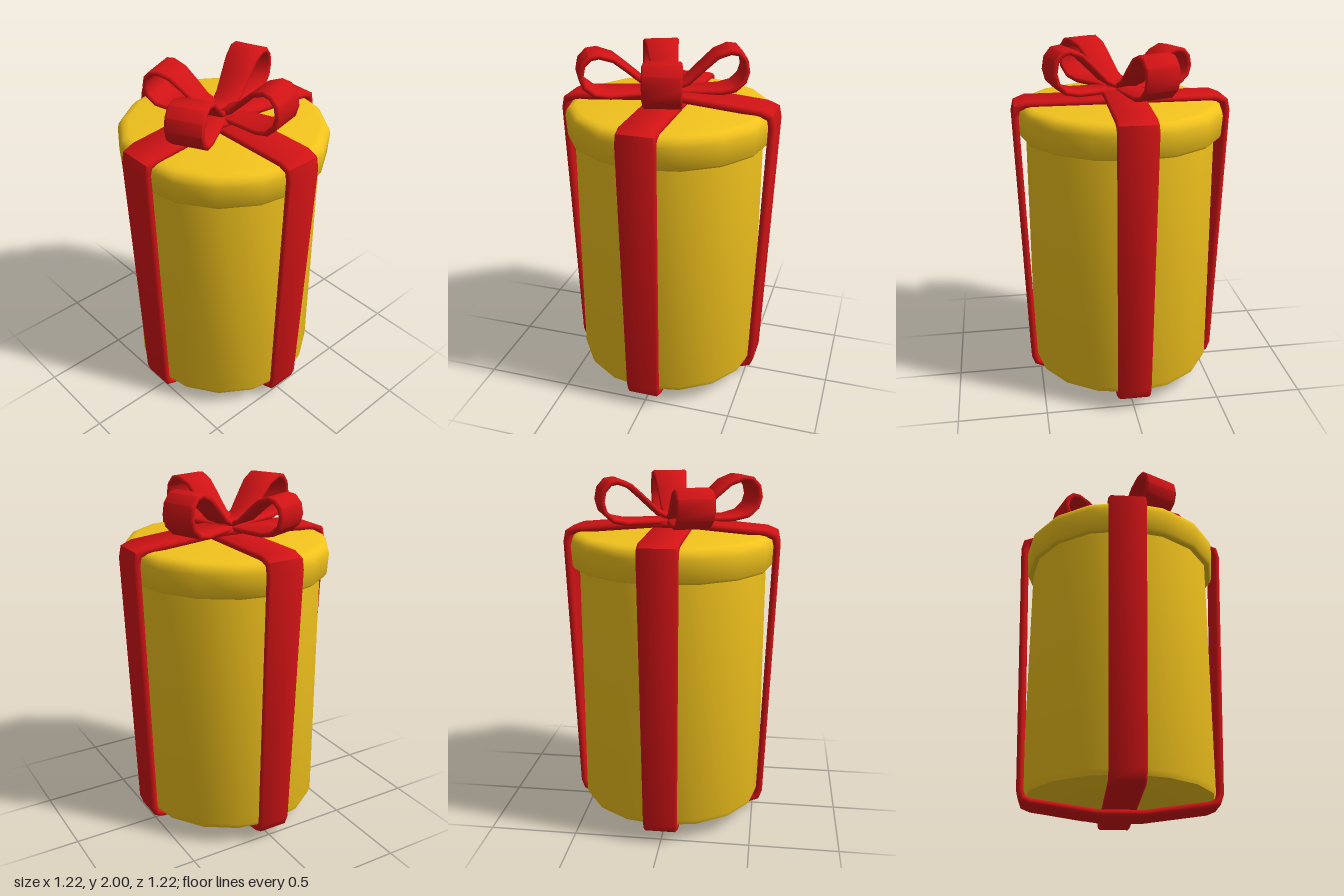
import * as THREE from 'three';
import { toCreasedNormals } from 'three/addons/utils/BufferGeometryUtils.js';

const gold = new THREE.MeshStandardMaterial({ color: 0xf2c31d });
const red = new THREE.MeshStandardMaterial({ color: 0xd31315, side: THREE.DoubleSide });

function addMesh(parent, name, geometry, material, crease = 0.9) {
  const mesh = new THREE.Mesh(toCreasedNormals(geometry, crease), material);
  mesh.name = name;
  parent.add(mesh);
  return mesh;
}

// Turned body with sixteen sides, profile listed from bottom to top
function turned(profile) {
  return new THREE.LatheGeometry(profile.map(([r, y]) => new THREE.Vector2(r, y)), 16);
}

// Flat band with softened edges, swept along a path in the xy plane; its width lies along z
function band(path, thickness, widthAt, closed) {
  const n = path.length;
  const pts = path.map(([x, y]) => new THREE.Vector2(x, y));
  const positions = [], index = [];
  const h = thickness / 2, b = thickness * 0.3;
  pts.forEach((p, i) => {
    const prev = closed ? pts[(i + n - 1) % n] : pts[Math.max(i - 1, 0)];
    const next = closed ? pts[(i + 1) % n] : pts[Math.min(i + 1, n - 1)];
    const d0 = p.clone().sub(prev).normalize(), d1 = next.clone().sub(p).normalize();
    const t = d0.clone().add(d1).normalize();
    const miter = 1 / Math.max(0.7, Math.max(t.dot(d0), t.dot(d1)));
    const w = widthAt(p.x, p.y) / 2;
    const section = [
      [w, -h + b], [w, h - b], [w - b, h], [b - w, h],
      [-w, h - b], [-w, -h + b], [b - w, -h], [w - b, -h],
    ];
    for (const [z, o] of section) {
      positions.push(p.x + t.y * o * miter, p.y - t.x * o * miter, z);
    }
  });
  for (let i = 0; i < (closed ? n : n - 1); i++) {
    for (let j = 0; j < 8; j++) {
      const k = (j + 1) % 8, m = (i + 1) % n;
      const a = i * 8 + j, c = i * 8 + k, d = m * 8 + k, e = m * 8 + j;
      index.push(a, c, d, a, d, e);
    }
  }
  const g = new THREE.BufferGeometry();
  g.setAttribute('position', new THREE.Float32BufferAttribute(positions, 3));
  g.setIndex(index);
  return g;
}

// Mirror a half path (bottom to top) into a closed counter-clockwise loop
function mirrored(half) {
  return [...half, ...half.map(([x, y]) => [-x, y]).reverse()];
}

export function createModel() {
  const group = new THREE.Group();
  group.name = 'giftBox';

  // Round box and lid
  addMesh(group, 'boxBody', turned([
    [0, 0.095], [0.495, 0.095], [0.522, 0.105], [0.533, 0.135], [0.533, 1.51],
  ]), gold, 0.7);
  addMesh(group, 'lid', turned([
    [0, 1.5], [0.56, 1.5], [0.572, 1.515], [0.58, 1.63], [0.572, 1.66],
    [0.552, 1.682], [0.52, 1.69], [0, 1.69],
  ]), gold, 0.7);

  // Two ribbons around the box, slightly narrower towards the bottom
  const side = [
    [0.485, 0.073], [0.525, 0.09], [0.541, 0.135],
    [0.591, 1.63], [0.58, 1.68], [0.53, 1.7],
  ];
  const ribbonWidth = (x, y) => 0.189 + 0.016 * y;
  addMesh(group, 'ribbonAcross', band(
    mirrored([...side, [0.1, 1.737]]), 0.038, ribbonWidth, true), red);
  const lengthways = addMesh(group, 'ribbonLengthways', band(
    mirrored([[0.12, 0.02], ...side]), 0.038, ribbonWidth, true), red);
  lengthways.rotation.y = Math.PI / 2;

  // Bow: four teardrop loops around a low knot
  const bow = new THREE.Group();
  bow.name = 'bow';
  bow.position.set(-0.02, 1.745, -0.01);
  group.add(bow);

  const teardrop = [
    [0.03, 0.005], [0.35, 0.008], [0.65, 0.008], [0.82, 0.025], [0.93, 0.07],
    [0.965, 0.125], [0.94, 0.185], [0.86, 0.225], [0.76, 0.232], [0.6, 0.205],
    [0.45, 0.145], [0.25, 0.06], [0.03, 0.018],
  ];
  const loops = [
    ['bowLoopLeft', 0.415, -0.16, 1],
    ['bowLoopRight', -0.44, 0.23, 1],
    ['bowLoopFront', 0.1, 0.42, 1.03],
    ['bowLoopBack', -0.16, -0.38, 0.87],
  ];
  for (const [name, dx, dz, rise] of loops) {
    const length = Math.hypot(dx, dz);
    const path = teardrop.map(([u, v]) => [u * length, v * rise]);
    const width = (x) => 0.12 + 0.088 * Math.min(1, x / (length * 0.85));
    const loop = addMesh(bow, name, band(path, 0.028, width, false), red);
    loop.rotation.y = Math.atan2(-dz, dx);
  }

  const knot = addMesh(bow, 'knot', new THREE.SphereGeometry(0.09, 7, 6), red);
  knot.scale.y = 0.42;
  knot.position.y = 0.012;

  return group;
}
